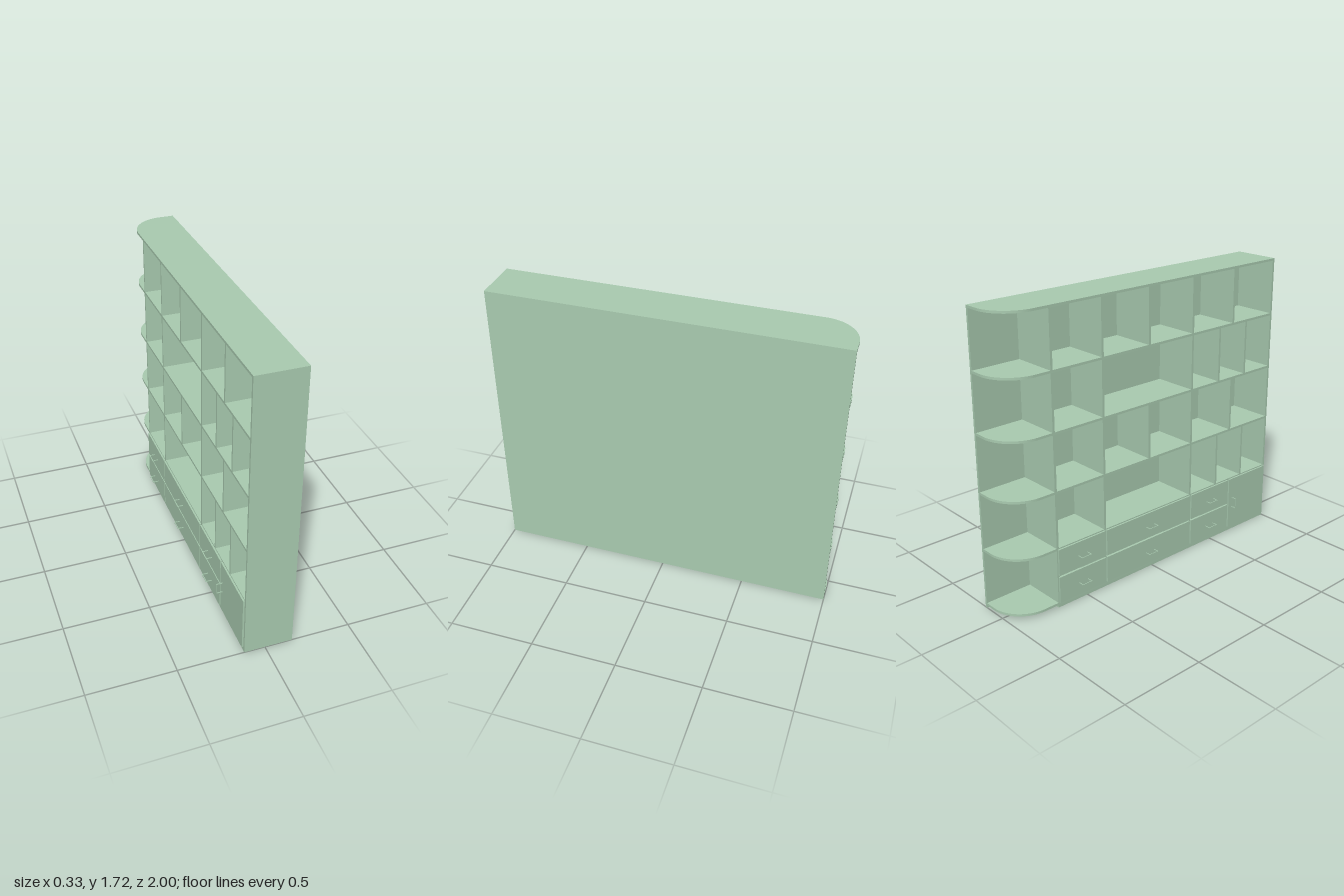
import * as THREE from 'three';
import { toCreasedNormals } from 'three/addons/utils/BufferGeometryUtils.js';

const material = new THREE.MeshStandardMaterial({ color: 0xaaccb1 });

// Main sizes: the shelves open towards -x, the rounded end is at -z
const T = 0.014;                       // board thickness
const FRONT = -0.12, BACK = 0.16;
const HEIGHT = 1.715, BASE = 0.03, PITCH = 0.337;
const COLS = [-0.7, -0.362, -0.024, 0.314, 0.652];
const END = 1 - T;

export function createModel() {
  const model = new THREE.Group();
  model.name = 'shelfUnit';

  // Box given by its limits on each axis
  function box(name, [x0, x1], [y0, y1], [z0, z1], parent = model) {
    const mesh = new THREE.Mesh(new THREE.BoxGeometry(x1 - x0, y1 - y0, z1 - z0), material);
    mesh.position.set((x0 + x1) / 2, (y0 + y1) / 2, (z0 + z1) / 2);
    mesh.name = name;
    parent.add(mesh);
  }

  // Carcass
  const inside = [FRONT, BACK - T];
  box('backPanel', [BACK - T, BACK], [0, HEIGHT], [-1, 1]);
  box('endPanel', inside, [0, HEIGHT], [END, 1]);
  box('plinth', inside, [0, BASE - T], [COLS[0] - T / 2, END]);

  // Long boards with one rounded corner
  const outline = new THREE.Shape();
  outline.moveTo(FRONT, -END);
  outline.lineTo(BACK - T, -END);
  outline.lineTo(BACK - T, 1);
  outline.lineTo(0.08, 1);
  outline.absarc(0.08, 0.8, 0.2, Math.PI / 2, Math.PI, false);
  outline.closePath();
  const board = toCreasedNormals(
    new THREE.ExtrudeGeometry(outline, { depth: T, bevelEnabled: false, curveSegments: 20 }).rotateX(-Math.PI / 2),
    0.5
  );
  for (let i = 0; i < 6; i++) {
    const shelf = new THREE.Mesh(board, material);
    shelf.name = 'shelf';
    shelf.position.y = BASE + i * PITCH - T;
    model.add(shelf);
  }

  // Upright dividers, from the cabinet row to the top row
  const [a, b, c, d, e] = COLS;
  const third = (0.993 - d) / 3;
  const wideRow = [a, b, d, d + third, d + 2 * third];
  const evenRow = [a, b, c, d, e];
  [[a, b, d, e], wideRow, evenRow, wideRow, evenRow].forEach((row, i) => {
    const y = BASE + i * PITCH;
    for (const z of row) box('divider', inside, [y, y + PITCH - T], [z - T / 2, z + T / 2]);
  });

  // Thin bracket handle lying along z, or standing along y
  function handle(y, z, upright) {
    const group = new THREE.Group();
    group.name = 'handle';
    const r = 0.002, half = 0.034;
    box('handleGrip', [-0.166, -0.162], [-r, r], [-half, half], group);
    for (const s of [-1, 1]) {
      const p = s * (half - r);
      box('handlePost', [-0.162, -0.13], [-r, r], [p - r, p + r], group);
    }
    group.position.set(0, y, z);
    if (upright) group.rotation.x = Math.PI / 2;
    model.add(group);
  }

  // Drawer fronts in two rows, and the tall door
  const face = [-0.13, FRONT], gap = 0.005;
  for (const [z0, z1] of [[a - gap, b], [b, d], [d, e]]) {
    for (const [y0, y1] of [[0.03, 0.19], [0.2, 0.36]]) {
      box('drawerFront', face, [y0, y1], [z0 + gap, z1 - gap]);
      handle((y0 + y1) / 2 - 0.004, (z0 + z1) / 2, false);
    }
  }
  box('door', face, [0.03, 0.36], [e + gap, END]);
  handle(0.198, 0.685, true);

  return model;
}
